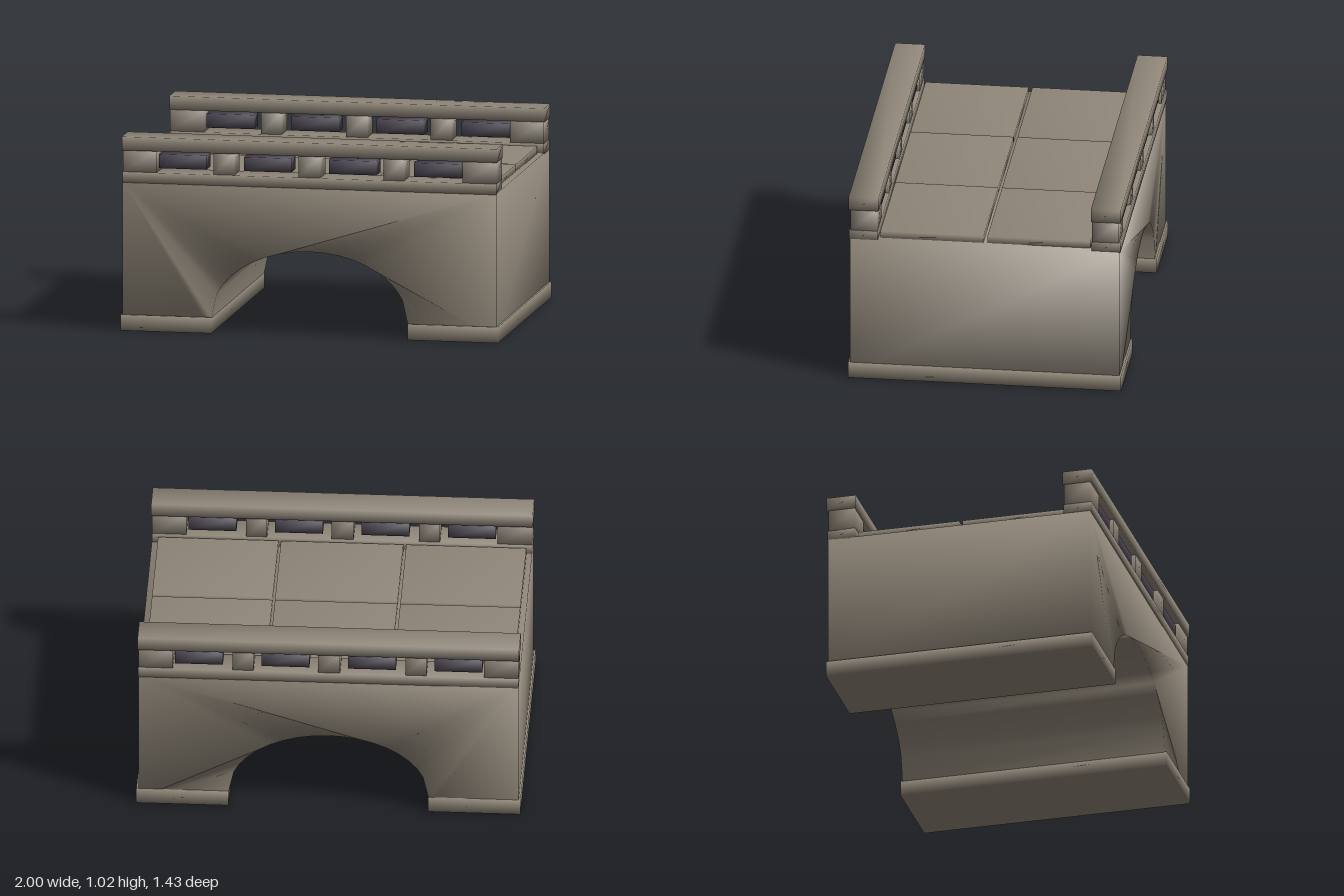
import * as THREE from 'three';
import { mergeVertices } from 'three/addons/utils/BufferGeometryUtils.js';

const stone = new THREE.MeshStandardMaterial({ color: 0x8f8678 });
stone.name = 'stone';
const darkStone = new THREE.MeshStandardMaterial({ color: 0x463f4c });
darkStone.name = 'dark slate';

// Weld shared corners so the shading runs softly over the edges
function soften(geometry) {
  geometry.deleteAttribute('normal');
  geometry.deleteAttribute('uv');
  const welded = mergeVertices(geometry, 1e-4);
  welded.computeVertexNormals();
  return welded;
}

// Block given by its limits on each axis
function block(name, [x0, x1], [y0, y1], [z0, z1], material = stone) {
  const geometry = soften(new THREE.BoxGeometry(x1 - x0, y1 - y0, z1 - z0));
  const mesh = new THREE.Mesh(geometry, material);
  mesh.name = name;
  mesh.position.set((x0 + x1) / 2, (y0 + y1) / 2, (z0 + z1) / 2);
  return mesh;
}

// Solid span with an arched passage underneath
function archBody() {
  const shape = new THREE.Shape();
  shape.moveTo(-0.99, 0.02);
  shape.lineTo(-0.525, 0.02);
  shape.lineTo(-0.52, 0.08);
  const steps = 16;
  for (let i = 0; i <= steps; i++) {
    const a = THREE.MathUtils.degToRad(162 - (144 * i) / steps);
    shape.lineTo(0.517 * Math.cos(a), 0.1 + 0.346 * Math.sin(a));
  }
  shape.lineTo(0.52, 0.08);
  shape.lineTo(0.525, 0.02);
  shape.lineTo(0.99, 0.02);
  shape.lineTo(0.99, 0.785);
  shape.lineTo(-0.99, 0.785);
  shape.closePath();
  const geometry = new THREE.ExtrudeGeometry(shape, { depth: 1.41, bevelEnabled: false });
  geometry.translate(0, 0, -0.705);
  const mesh = new THREE.Mesh(soften(geometry), stone);
  mesh.name = 'archBody';
  return mesh;
}

// Low wall: lower rail, posts, dark infill blocks and coping
function parapet(name, side) {
  const group = new THREE.Group();
  group.name = name;
  const span = (a, b) => (side > 0 ? [a, b] : [-b, -a]);
  group.add(block('lowerRail', [-0.99, 0.99], [0.78, 0.836], span(0.56, 0.71)));
  group.add(block('coping', [-0.993, 0.993], [0.95, 1.022], span(0.556, 0.713)));
  const posts = [[-0.99, -0.81], [-0.51, -0.4], [-0.06, 0.055], [0.39, 0.5], [0.81, 0.99]];
  for (const x of posts) group.add(block('post', x, [0.834, 0.952], span(0.563, 0.703)));
  for (const x of [-0.675, -0.225, 0.225, 0.675]) {
    group.add(block('infill', [x - 0.125, x + 0.125], [0.858, 0.932], span(0.575, 0.69), darkStone));
  }
  return group;
}

export function createModel() {
  const model = new THREE.Group();
  model.name = 'stoneBridge';
  model.add(archBody());

  // Footings under both piers
  model.add(block('rightFooting', [-1, -0.52], [0, 0.083], [-0.715, 0.715]));
  model.add(block('leftFooting', [0.52, 1], [0, 0.083], [-0.715, 0.715]));

  // Paving slabs on the deck
  for (const x of [[-0.96, -0.335], [-0.32, 0.317], [0.33, 0.957]]) {
    for (const z of [[-0.55, -0.01], [0.01, 0.55]]) {
      model.add(block('pavingSlab', x, [0.78, 0.823], z));
    }
  }

  model.add(parapet('frontParapet', 1), parapet('backParapet', -1));
  return model;
}
